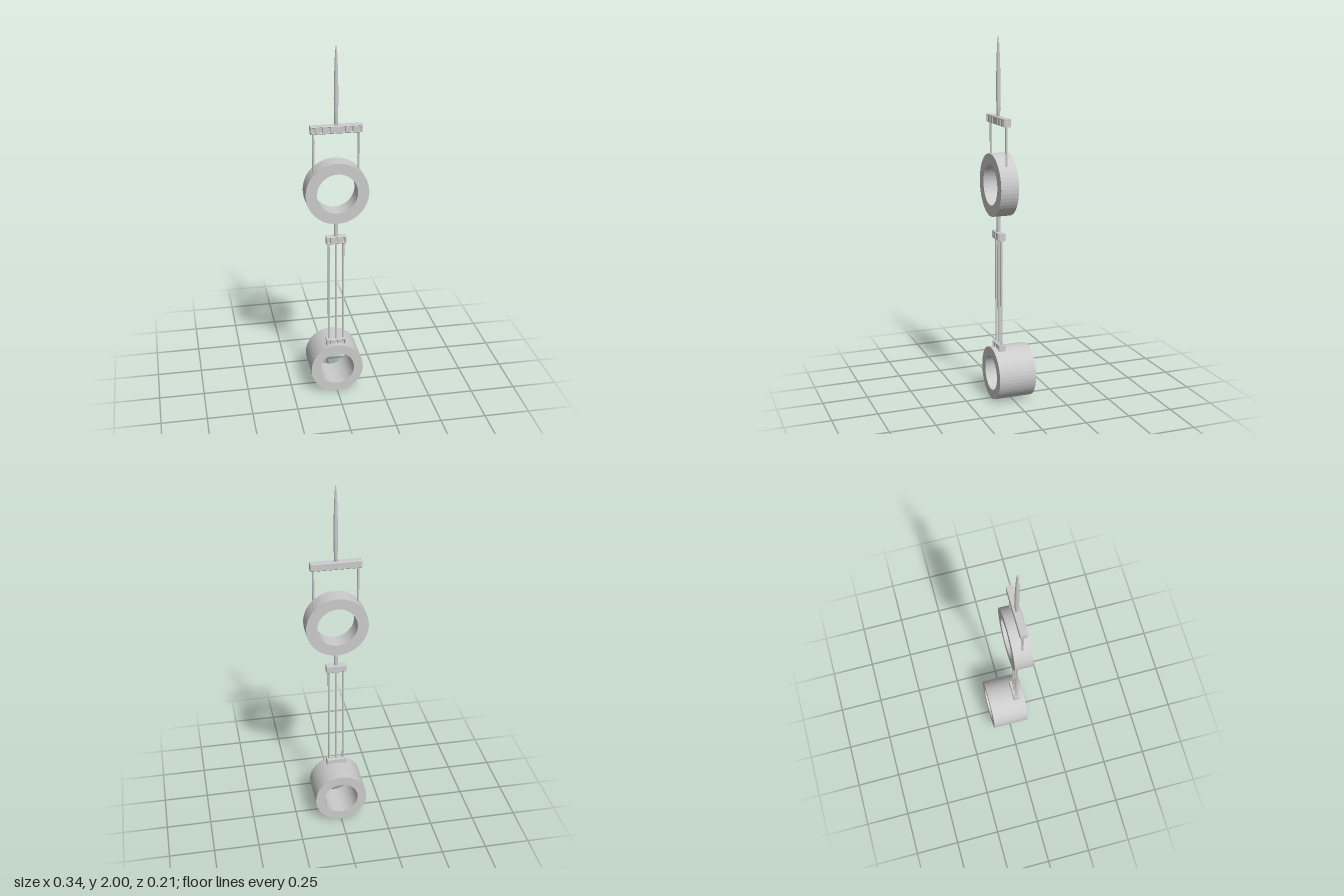
import * as THREE from 'three';

const Z = 0.057; // depth plane shared by rods, bars and spike
const flat = new THREE.MeshStandardMaterial({ color: 0xcccccc, flatShading: true });
const smooth = new THREE.MeshStandardMaterial({ color: 0xcccccc });

export function createModel() {
  const model = new THREE.Group();

  function add(name, geometry, material, x, y, z, parent = model) {
    const mesh = new THREE.Mesh(geometry, material);
    mesh.name = name;
    mesh.position.set(x, y, z);
    parent.add(mesh);
    return mesh;
  }

  // Thick hollow ring facing front, from z0 (back) to z1 (front)
  function ring(name, y, outer, inner, z0, z1) {
    const profile = [[inner, z0], [outer, z0], [outer, z1], [inner, z1], [inner, z0]]
      .map(([r, h]) => new THREE.Vector2(r, h));
    // Lathe axis y is turned onto +z
    const geometry = new THREE.LatheGeometry(profile, 48).rotateX(Math.PI / 2);
    add(name, geometry, flat, 0, y, 0);
  }

  // Vertical round rod
  function rod(name, x, y0, y1, r) {
    add(name, new THREE.CylinderGeometry(r, r, y1 - y0, 12), smooth, x, (y0 + y1) / 2, Z);
  }

  // Bevelled bar with shallow pockets in its front face
  function bar(name, y, width, height, pockets) {
    const group = new THREE.Group();
    group.name = name;
    group.position.set(0, y, Z);
    model.add(group);
    const rect = (Type, x, w, h) => new Type([[-1, -1], [1, -1], [1, 1], [-1, 1]]
      .map(([a, b]) => new THREE.Vector2(x + a * w / 2, b * h / 2)));
    const shape = rect(THREE.Shape, 0, width, height);
    for (const x of pockets) shape.holes.push(rect(THREE.Path, x, 0.012, height - 0.014));
    const bevel = 0.003, depth = 0.038;
    const shell = new THREE.ExtrudeGeometry(shape, {
      depth: depth - 2 * bevel, bevelThickness: bevel, bevelSize: bevel,
      bevelOffset: -bevel, bevelSegments: 1,
    }).translate(0, 0, bevel - depth / 2);
    add(name + 'Shell', shell, flat, 0, 0, 0, group);
    // Core closes the pockets behind the front face
    const core = new THREE.BoxGeometry(width - 0.008, height - 0.008, depth - 0.012);
    add(name + 'Core', core, flat, 0, 0, -0.006, group);
  }

  // Bottom weight and upper ring
  ring('bottomRing', 0.15, 0.147, 0.096, -0.107, 0.104);
  ring('upperRing', 1.211, 0.17, 0.11, 0.005, 0.104);

  // Clamps and cross bar
  bar('lowerClamp', 0.301, 0.11, 0.042, [-0.04, 0, 0.04]);
  bar('upperClamp', 0.931, 0.11, 0.042, [-0.04, 0, 0.04]);
  bar('crossBar', 1.556, 0.274, 0.042, [-0.12, -0.08, -0.04, 0.04, 0.08, 0.12]);

  // Three long rods, neck and two hanger rods
  for (const x of [-0.04, 0, 0.04]) rod('longRod', x, 0.3, 0.93, 0.006);
  rod('neckRod', 0, 0.945, 1.06, 0.011);
  for (const x of [-0.12, 0.12]) {
    rod('hangerRod', x, 1.332, 1.545, 0.006);
    add('hangerTip', new THREE.SphereGeometry(0.006, 12, 8), smooth, x, 1.332, Z);
  }

  // Tapering spike
  const spike = [[0, 1.57], [0.009, 1.57], [0.011, 1.65], [0.012, 1.72], [0.011, 1.8],
    [0.009, 1.88], [0.006, 1.95], [0.003, 1.985], [0, 2]].map(([r, y]) => new THREE.Vector2(r, y));
  add('spike', new THREE.LatheGeometry(spike, 16), smooth, 0, 0, Z);

  return model;
}
